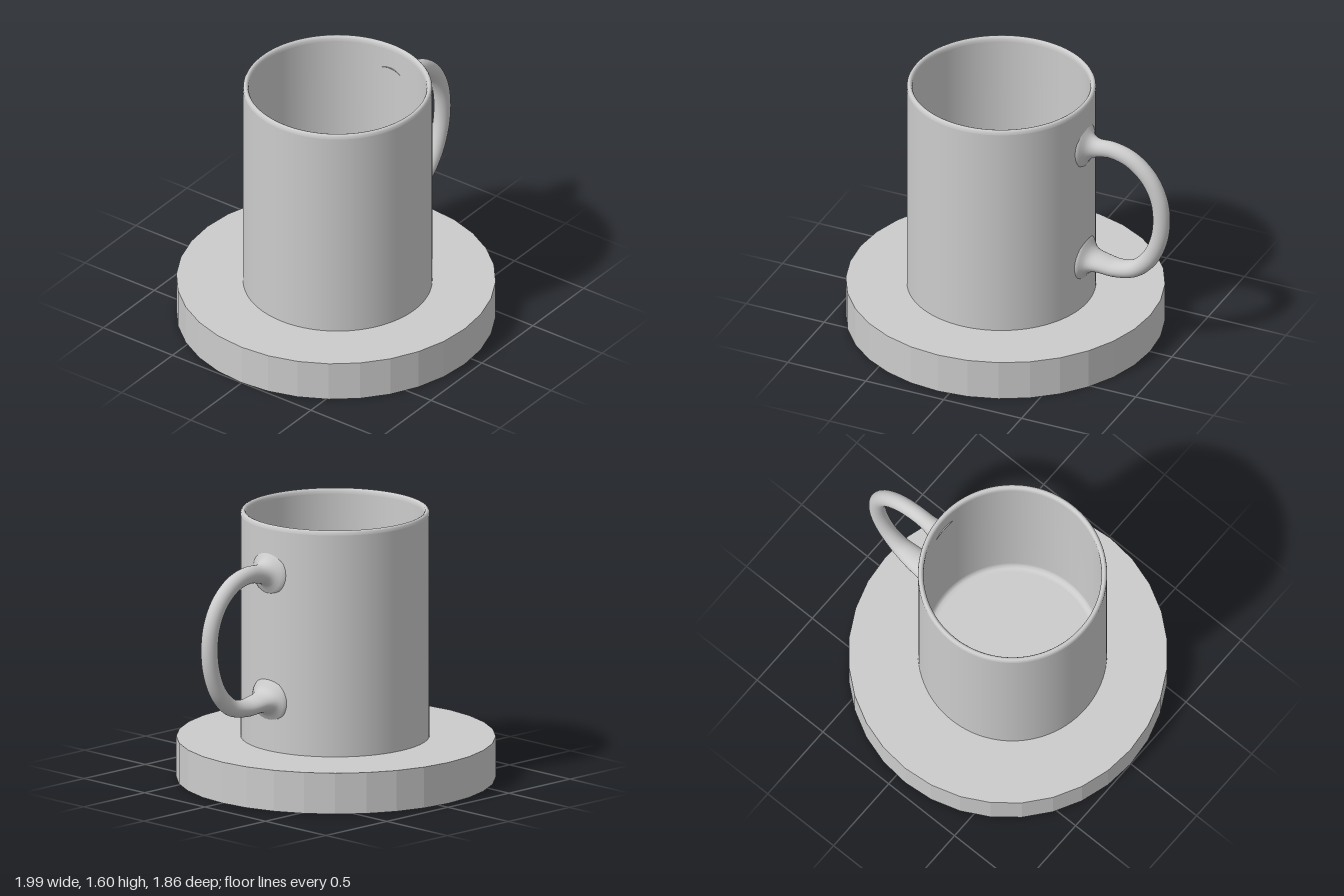
import * as THREE from 'three';

const china = new THREE.MeshStandardMaterial({ color: 0xcccccc });
china.name = 'grey china';
const saucerMaterial = new THREE.MeshStandardMaterial({ color: 0xcccccc, flatShading: true });
saucerMaterial.name = 'grey faceted china';

const MUG_X = -0.085, MUG_Z = 0.02;

// One smooth section of the mug; separate sections keep the creases sharp
function lathe(name, points) {
  const profile = points.map(([r, y]) => new THREE.Vector2(r, y));
  const mesh = new THREE.Mesh(new THREE.LatheGeometry(profile, 96), china);
  mesh.name = name;
  return mesh;
}

// Round handle swept along a curve, flaring where it meets the wall
function handleGeometry() {
  const path = new THREE.CatmullRomCurve3([
    [0.43, 1.31], [0.53, 1.313], [0.63, 1.32], [0.75, 1.285], [0.86, 1.19],
    [0.925, 1.06], [0.943, 0.92], [0.925, 0.78], [0.865, 0.645],
    [0.77, 0.555], [0.66, 0.53], [0.55, 0.54], [0.43, 0.545],
  ].map(([x, y]) => new THREE.Vector3(x, y, 0)));
  const steps = 120, sides = 28, position = [], index = [];
  for (let i = 0; i <= steps; i++) {
    const p = path.getPointAt(i / steps), t = path.getTangentAt(i / steps);
    const flare = 0.085 * Math.exp(-Math.max(0, p.x - 0.46) / 0.028);
    const r = 0.051 + flare;
    // The lower arm widens sideways towards the wall
    const widen = p.y < 0.75 ? 0.036 * THREE.MathUtils.smoothstep(0.9 - p.x, 0, 0.4) : 0;
    const w = 0.048 + flare + widen * (1 - flare / 0.1);
    for (let j = 0; j < sides; j++) {
      const a = (j / sides) * Math.PI * 2;
      position.push(p.x - t.y * r * Math.cos(a), p.y + t.x * r * Math.cos(a), MUG_Z + w * Math.sin(a));
      if (i < steps) {
        const k = i * sides, n = (j + 1) % sides;
        index.push(k + j, k + n, k + sides + j, k + n, k + sides + n, k + sides + j);
      }
    }
  }
  const geometry = new THREE.BufferGeometry();
  geometry.setAttribute('position', new THREE.Float32BufferAttribute(position, 3));
  geometry.setIndex(index);
  geometry.computeVertexNormals();
  return geometry;
}

export function createModel() {
  const model = new THREE.Group();
  model.name = 'mugOnSaucer';

  // Thick faceted saucer
  const saucer = new THREE.Mesh(new THREE.CylinderGeometry(0.93, 0.93, 0.245, 32), saucerMaterial);
  saucer.name = 'saucer';
  saucer.position.set(-0.07, 0.1225, -0.003);
  model.add(saucer);

  // Hollow mug body
  const mug = new THREE.Group();
  mug.name = 'mugBody';
  mug.position.set(MUG_X, 0, MUG_Z);
  mug.add(
    lathe('outerWall', [[0.551, 0.245], [0.551, 1.57]]),
    lathe('rim', [[0.551, 1.57], [0.549, 1.585], [0.542, 1.594], [0.534, 1.596], [0.525, 1.592], [0.519, 1.58], [0.518, 1.565]]),
    lathe('innerWall', [[0.518, 1.565], [0.518, 0.34], [0.513, 0.315], [0.5, 0.302], [0.48, 0.3]]),
    lathe('innerFloor', [[0.48, 0.3], [0, 0.3]]),
  );
  model.add(mug);

  const handle = new THREE.Mesh(handleGeometry(), china);
  handle.name = 'handle';
  model.add(handle);

  return model;
}
